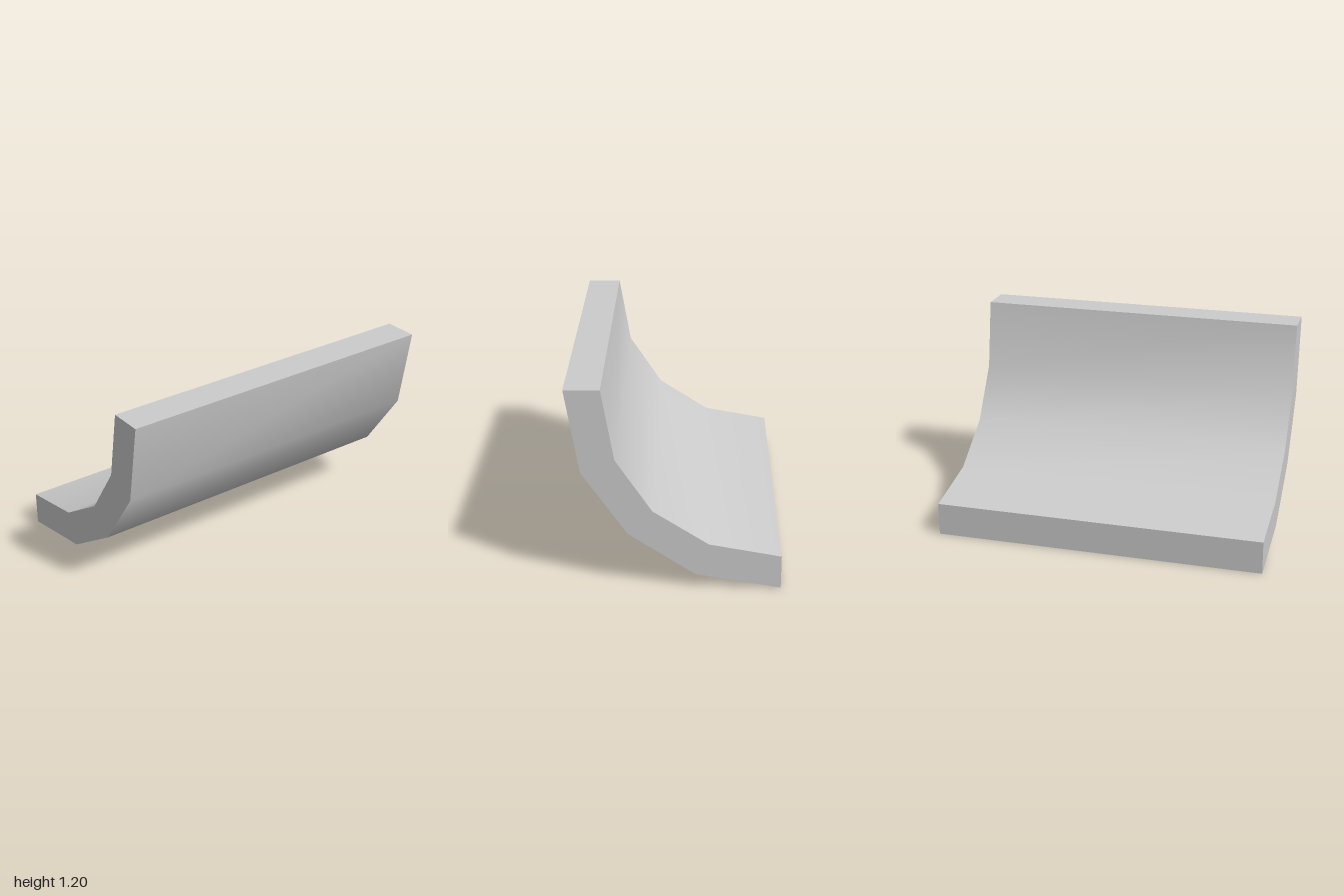
import * as THREE from 'three';
import { toCreasedNormals } from 'three/addons/utils/BufferGeometryUtils.js';

export function createModel() {
  const group = new THREE.Group();
  group.name = 'curvedPanel';

  const paleGrey = new THREE.MeshStandardMaterial({ color: 0xcccccc });
  paleGrey.name = 'paleGrey';

  // Cross-section as [z, y]: outer curve from the rear lip up to the front, then inner curve back
  const outer = [[-0.6, 0], [-0.115, 0.085], [0.265, 0.34], [0.52, 0.715], [0.6, 1.2]];
  const inner = [[0.4, 1.2], [0.33, 0.79], [0.125, 0.48], [-0.19, 0.275], [-0.6, 0.2]];
  const profile = new THREE.Shape(
    [...outer, ...inner].map(([z, y]) => new THREE.Vector2(-z, y))
  );

  // Sweep the section along x; smooth the curve, keep the rims sharp
  const swept = new THREE.ExtrudeGeometry(profile, { depth: 2, bevelEnabled: false });
  swept.rotateY(Math.PI / 2);
  swept.translate(-1, 0, 0);

  const panel = new THREE.Mesh(toCreasedNormals(swept, 0.7), paleGrey);
  panel.name = 'panel';
  group.add(panel);
  return group;
}
